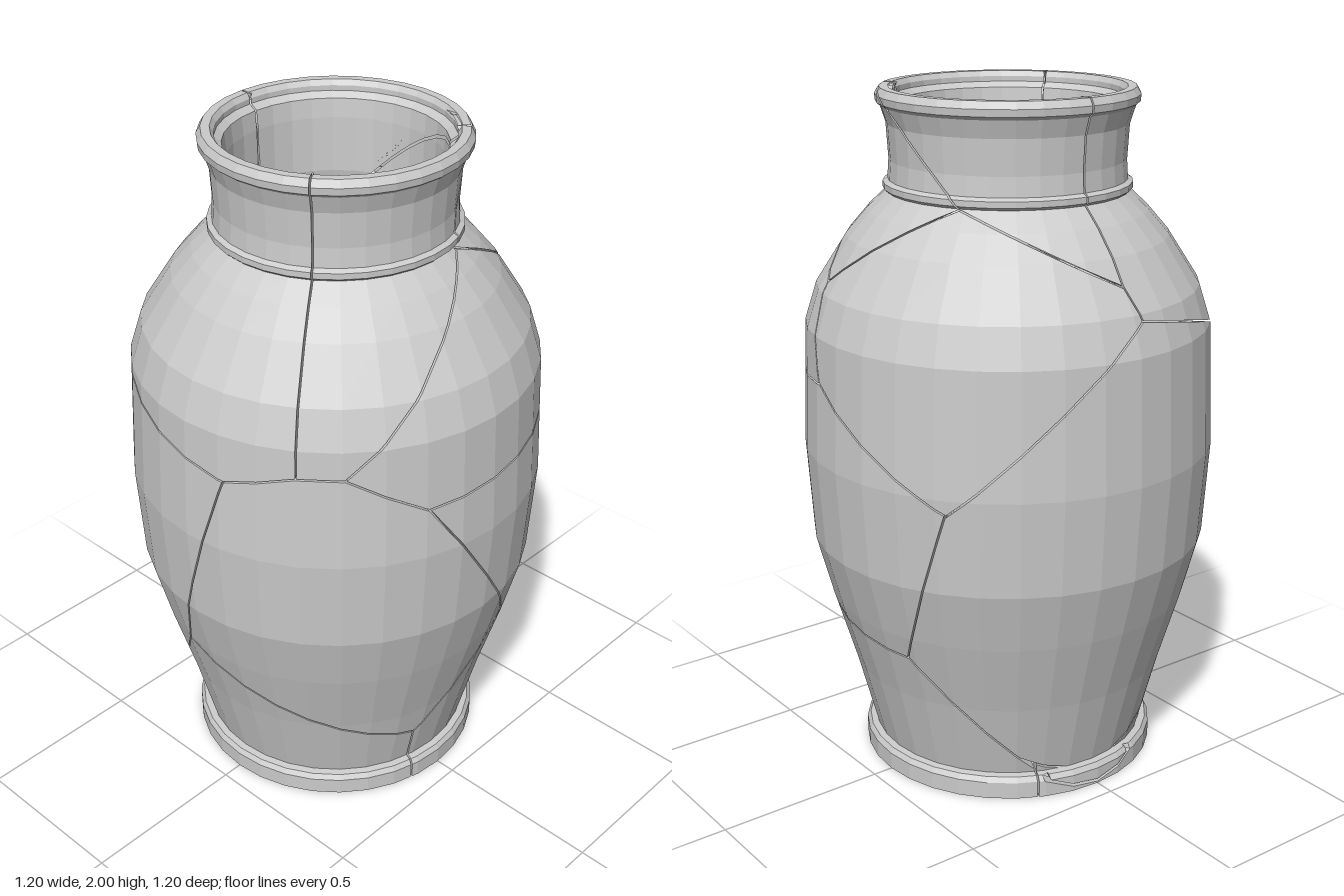
import * as THREE from 'three';

const SEGMENTS = 32, WALL = 0.04, GAP = 0.0025;

// Outer profile [radius, height], from the centre of the foot up to the lip
const OUTER = [
  [0, 0], [0.44, 0], [0.44, 0.05], [0.43, 0.065], [0.41, 0.068],
  [0.47, 0.3], [0.535, 0.52], [0.582, 0.7], [0.6, 0.98], [0.585, 1.34],
  [0.55, 1.45], [0.46, 1.59], [0.4, 1.66], [0.345, 1.712],
  [0.354, 1.72], [0.354, 1.737], [0.34, 1.745],
  [0.336, 1.8], [0.342, 1.9], [0.358, 1.95], [0.37, 1.96], [0.372, 1.98], [0.36, 2],
];
// Inner profile, from the lip down to the floor
const INNER = [
  [0.335, 2], [0.325, 1.985], [0.325, 1.97], [0.305, 1.955], [0.3, 1.9], [0.298, 1.74],
  [0.305, 1.7], [0.42, 1.58], [0.51, 1.44], [0.545, 1.34], [0.56, 0.98],
  [0.542, 0.7], [0.495, 0.52], [0.43, 0.3], [0.38, 0.09], [0, 0.09],
];

// Points where cracks meet; P lies on the axis above the mouth
const NODES = {
  A: [0.13, 1.2, 0.575], B: [-0.1, 0.51, 0.52], C: [-0.55, 1.43, 0.03],
  E: [0.43, 0.19, 0.11], F: [0.32, 1.255, 0.49], G: [0.42, 1.255, 0.41],
  H: [0.55, 1.13, 0.22], I: [0.5, 0.54, -0.19], L: [0.34, 1.71, -0.12],
  M: [0.165, 1.48, -0.5], N: [-0.5, 1.52, 0], Q: [-0.18, 1.71, -0.3],
  R: [0.27, 2, -0.24], S: [0.1, 1.21, -0.57], T: [-0.345, 0.94, -0.465],
  U: [-0.16, 0.45, -0.47], V: [-0.4, 0.06, -0.19], P: [0, 2.6, 0],
};

// Each shard is bounded by the cracks running round these points
const SHARDS = {
  upperFrontShard: 'CAFPN',
  upperLeftShard: 'FGLRP',
  neckBackShard: 'LMQR',
  neckRightShard: 'NQRP',
  shoulderBackShard: 'TSMQNC',
  shoulderLeftShard: 'GHSML',
  bellyBackShard: 'HIUTS',
  bellyFrontShard: 'AFGHIEB',
  bellyRightShard: 'CABVUT',
  footFrontShard: 'BEV',
  footBackShard: 'EIUV',
};

// Third point of a crack plane where it does not simply cut level to the axis
const THROUGH = { BV: [-0.4, 0.07, 0.1], EV: [0.43, -1, 0.11], QR: [0, 1.6, 0], TU: [0, 0.9, 0] };

const node = (key) => new THREE.Vector3(...NODES[key]);

function crackPlane(p, q, inside) {
  const [k, l] = [p, q].sort();
  const a = node(k), b = node(l);
  const third = new THREE.Vector3(...(THROUGH[k + l] ?? [0, (a.y + b.y) / 2, 0]));
  const plane = new THREE.Plane().setFromCoplanarPoints(a, b, third);
  if (plane.distanceToPoint(inside) < 0) plane.negate();
  plane.constant -= GAP;
  return plane;
}

// Keep the part of a convex polygon in front of a plane
function clip(polygon, plane) {
  const kept = [];
  polygon.forEach((a, i) => {
    const b = polygon[(i + 1) % polygon.length];
    const da = plane.distanceToPoint(a), db = plane.distanceToPoint(b);
    if (da >= 0) kept.push(a);
    if ((da >= 0) !== (db >= 0)) kept.push(a.clone().lerp(b, da / (da - db)));
  });
  return kept;
}

// Faceted vase as polygons, marking those on the outer wall
function vasePolygons() {
  const profile = [...OUTER, ...INNER], faces = [];
  const at = ([r, y], i) => {
    const t = ((i % SEGMENTS) / SEGMENTS) * Math.PI * 2;
    return new THREE.Vector3(r * Math.sin(t), y, r * Math.cos(t));
  };
  for (let j = 0; j < profile.length - 1; j++) {
    const lo = profile[j], hi = profile[j + 1];
    for (let i = 0; i < SEGMENTS; i++) {
      const corners = [at(lo, i), at(lo, i + 1), at(hi, i + 1), at(hi, i)];
      if (lo[0] === 0) corners.shift();
      if (hi[0] === 0) corners.pop();
      faces.push({ corners, outer: j > 0 && j < OUTER.length - 1 });
    }
  }
  return faces;
}

function inward(p) {
  const scale = 1 - WALL / Math.hypot(p.x, p.z);
  return new THREE.Vector3(p.x * scale, p.y, p.z * scale);
}

function shardGeometry(faces, ring) {
  const keys = [...ring];
  const inside = keys.reduce((sum, k) => sum.add(node(k)), new THREE.Vector3()).divideScalar(keys.length);
  const planes = keys.map((k, i) => crackPlane(k, keys[(i + 1) % keys.length], inside));
  const positions = [];
  const addPolygon = (poly) => {
    for (let i = 1; i < poly.length - 1; i++) {
      const tri = new THREE.Triangle(poly[0], poly[i], poly[i + 1]);
      if (tri.getArea() < 1e-9) continue;
      for (const p of [tri.a, tri.b, tri.c]) positions.push(p.x, p.y, p.z);
    }
  };
  for (const { corners, outer } of faces) {
    const poly = planes.reduce((rest, plane) => (rest.length ? clip(rest, plane) : rest), corners);
    if (poly.length < 3) continue;
    addPolygon(poly);
    if (!outer) continue;
    // Broken edge through the thickness of the wall
    poly.forEach((a, i) => {
      const b = poly[(i + 1) % poly.length];
      const onCrack = planes.some((plane) =>
        Math.abs(plane.distanceToPoint(a)) < 1e-6 && Math.abs(plane.distanceToPoint(b)) < 1e-6);
      if (onCrack) addPolygon([b, a, inward(a), inward(b)]);
    });
  }
  const geometry = new THREE.BufferGeometry();
  geometry.setAttribute('position', new THREE.Float32BufferAttribute(positions, 3));
  geometry.computeVertexNormals();
  return geometry;
}

export function createModel() {
  const vase = new THREE.Group();
  vase.name = 'crackedVase';
  const material = new THREE.MeshStandardMaterial({
    color: 0xcccccc, flatShading: true, side: THREE.DoubleSide,
  });
  const faces = vasePolygons();
  for (const [name, ring] of Object.entries(SHARDS)) {
    const shard = new THREE.Mesh(shardGeometry(faces, ring), material);
    shard.name = name;
    vase.add(shard);
  }
  return vase;
}
